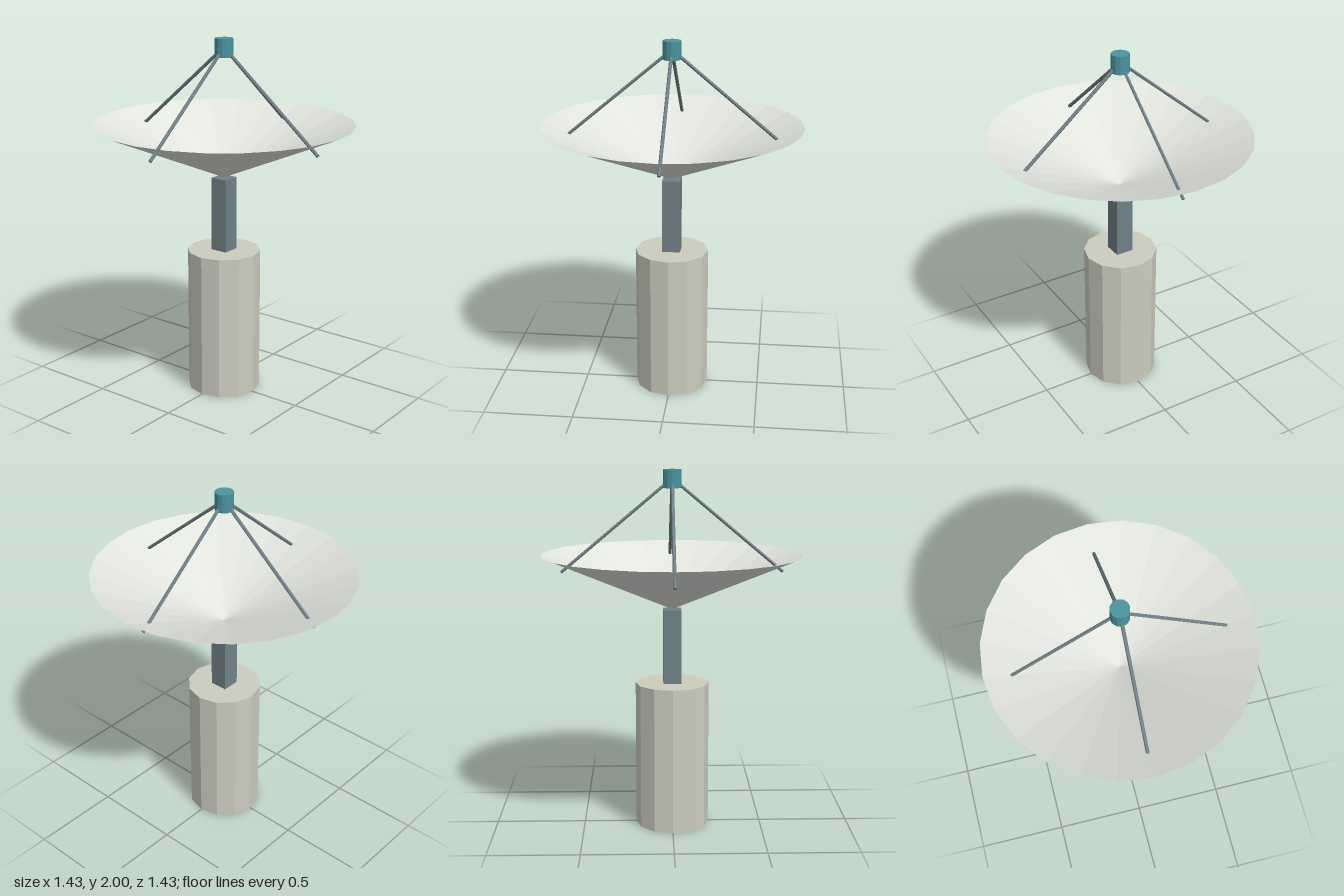
import * as THREE from 'three';

const paint = (color, side = THREE.FrontSide) =>
  new THREE.MeshStandardMaterial({ color, flatShading: true, side });

function addMesh(parent, name, geometry, material, y = 0) {
  const mesh = new THREE.Mesh(geometry, material);
  mesh.name = name;
  mesh.position.y = y;
  parent.add(mesh);
  return mesh;
}

export function createModel() {
  const model = new THREE.Group();
  model.name = 'dishAntenna';

  const concrete = paint(0xccccbe);
  const steel = paint(0x708288);
  const shell = paint(0xe2e5de, THREE.DoubleSide);
  const teal = paint(0x4a949e);

  // Twelve-sided pedestal and square mast
  addMesh(model, 'base', new THREE.CylinderGeometry(0.205, 0.205, 0.82, 12), concrete, 0.41);
  addMesh(model, 'mast', new THREE.BoxGeometry(0.1, 0.415, 0.1), steel, 1.0275);

  // Open conical dish
  const rim = 0.717, apexY = 1.235, rimY = 1.54;
  addMesh(model, 'dish', new THREE.CylinderGeometry(rim, 0, rimY - apexY, 24, 1, true),
    shell, (apexY + rimY) / 2);

  // Receiver above the dish
  addMesh(model, 'receiver', new THREE.CylinderGeometry(0.05, 0.05, 0.1, 12), teal, 1.95);

  // Four struts running from the receiver through the dish
  const top = new THREE.Vector3(0.02, 1.935, 0);
  const foot = new THREE.Vector3(0.61, 1.442, 0);
  const along = top.clone().sub(foot);
  const strutGeometry = new THREE.CylinderGeometry(0.0095, 0.0095, along.length(), 6);
  for (let i = 0; i < 4; i++) {
    const pivot = new THREE.Group();
    pivot.name = 'strutPivot' + (i + 1);
    pivot.rotation.y = i * Math.PI / 2;
    const strut = addMesh(pivot, 'strut', strutGeometry, steel);
    strut.position.copy(top).add(foot).multiplyScalar(0.5);
    strut.quaternion.setFromUnitVectors(new THREE.Vector3(0, 1, 0), along.clone().normalize());
    model.add(pivot);
  }

  return model;
}
